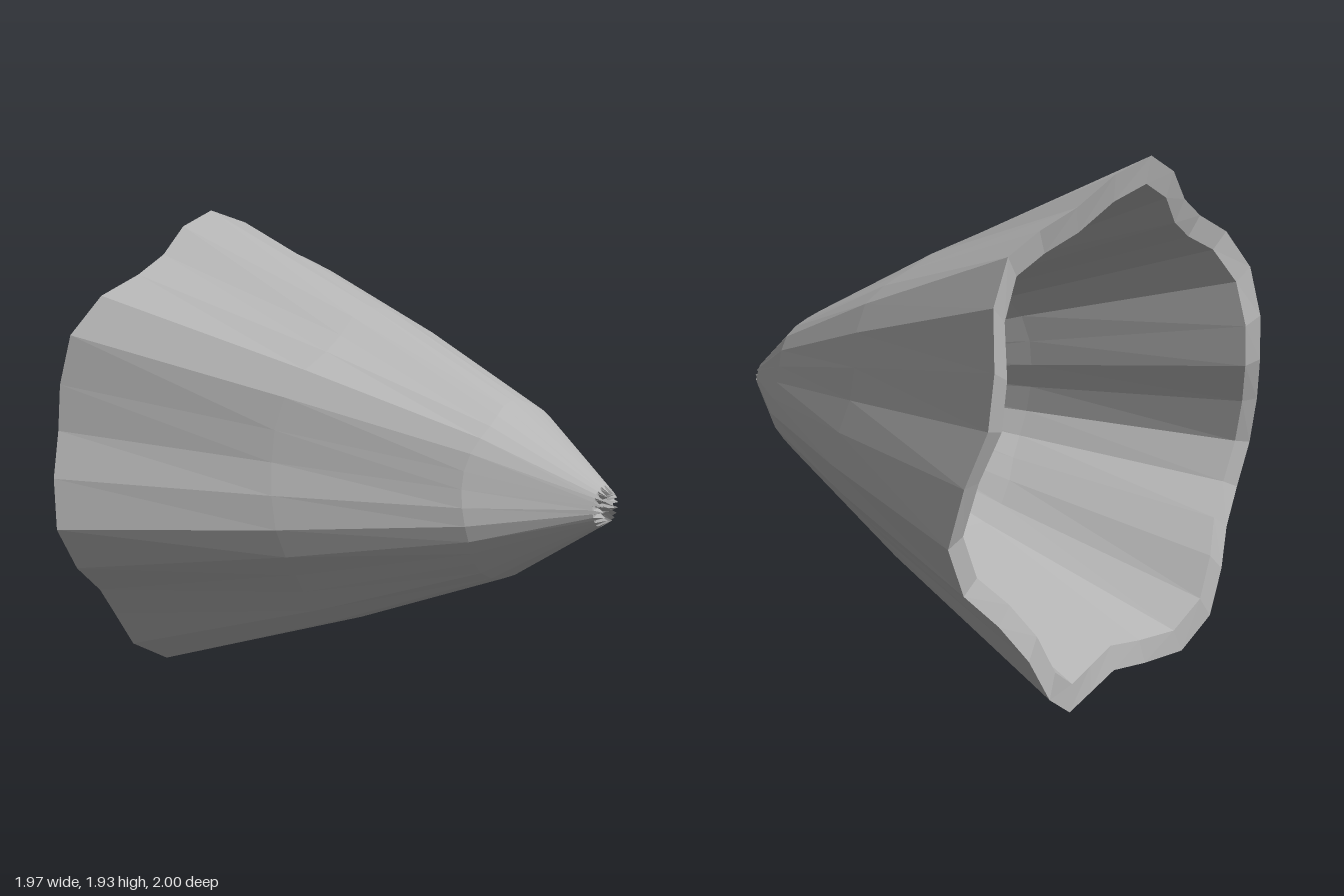
import * as THREE from 'three';

const SIDES = 32;
const AXIS_Y = 0.93;

// Rings along the shell: mean radius, radius ripple, mean z, z ripple
const OUTER = [
  [0.076, 0.001, 0.963, 0.002],
  [0.34, 0.006, 0.577, 0.015],
  [0.63, 0.022, -0.09, 0.032],
  [0.955, 0.05, -0.952, 0.048],
];
const INNER = [
  [0.86, 0.048, -0.935, 0.048],
  [0.55, 0.022, -0.09, 0.032],
  [0.27, 0.006, 0.54, 0.015],
];

// Seven lobes around the radius, five waves along the axis
function ringPoints([r, dr, z, dz]) {
  return Array.from({ length: SIDES }, (_, i) => {
    const a = (i / SIDES) * Math.PI * 2;
    const radius = r + dr * Math.cos(7 * a);
    return [Math.sin(a) * radius, AXIS_Y + Math.cos(a) * radius, z - dz * Math.cos(5 * a)];
  });
}

// Small jagged teeth around the hole at the tip
function toothPoints() {
  return Array.from({ length: SIDES }, (_, i) => {
    const a = (i / SIDES) * Math.PI * 2;
    const raised = i % 2 === 1;
    const radius = raised ? 0.052 : 0.038;
    return [Math.sin(a) * radius, AXIS_Y + Math.cos(a) * radius, raised ? 0.998 : 0.968];
  });
}

// Skin consecutive rings with quads
function skin(rings) {
  const index = [];
  for (let k = 0; k < rings.length - 1; k++) {
    for (let i = 0; i < SIDES; i++) {
      const j = (i + 1) % SIDES;
      const a = k * SIDES + i, b = k * SIDES + j;
      const c = a + SIDES, d = b + SIDES;
      index.push(a, d, c, a, b, d);
    }
  }
  const geometry = new THREE.BufferGeometry();
  geometry.setAttribute('position', new THREE.Float32BufferAttribute(rings.flat(2), 3));
  geometry.setIndex(index);
  const flat = geometry.toNonIndexed();
  flat.computeVertexNormals();
  return flat;
}

export function createModel() {
  const group = new THREE.Group();
  group.name = 'flutedShell';

  const grey = new THREE.MeshStandardMaterial({ color: 0xb4b4b4, flatShading: true, side: THREE.DoubleSide });
  grey.name = 'plain grey';

  const outer = OUTER.map(ringPoints);
  const inner = INNER.map(ringPoints);
  const teeth = toothPoints();

  const add = (name, rings) => {
    const mesh = new THREE.Mesh(skin(rings), grey);
    mesh.name = name;
    group.add(mesh);
  };

  add('outerWall', outer);
  add('wavyRim', [outer[outer.length - 1], inner[0]]);
  add('innerWall', [...inner, teeth]);
  add('tipTeeth', [teeth, outer[0]]);

  return group;
}
